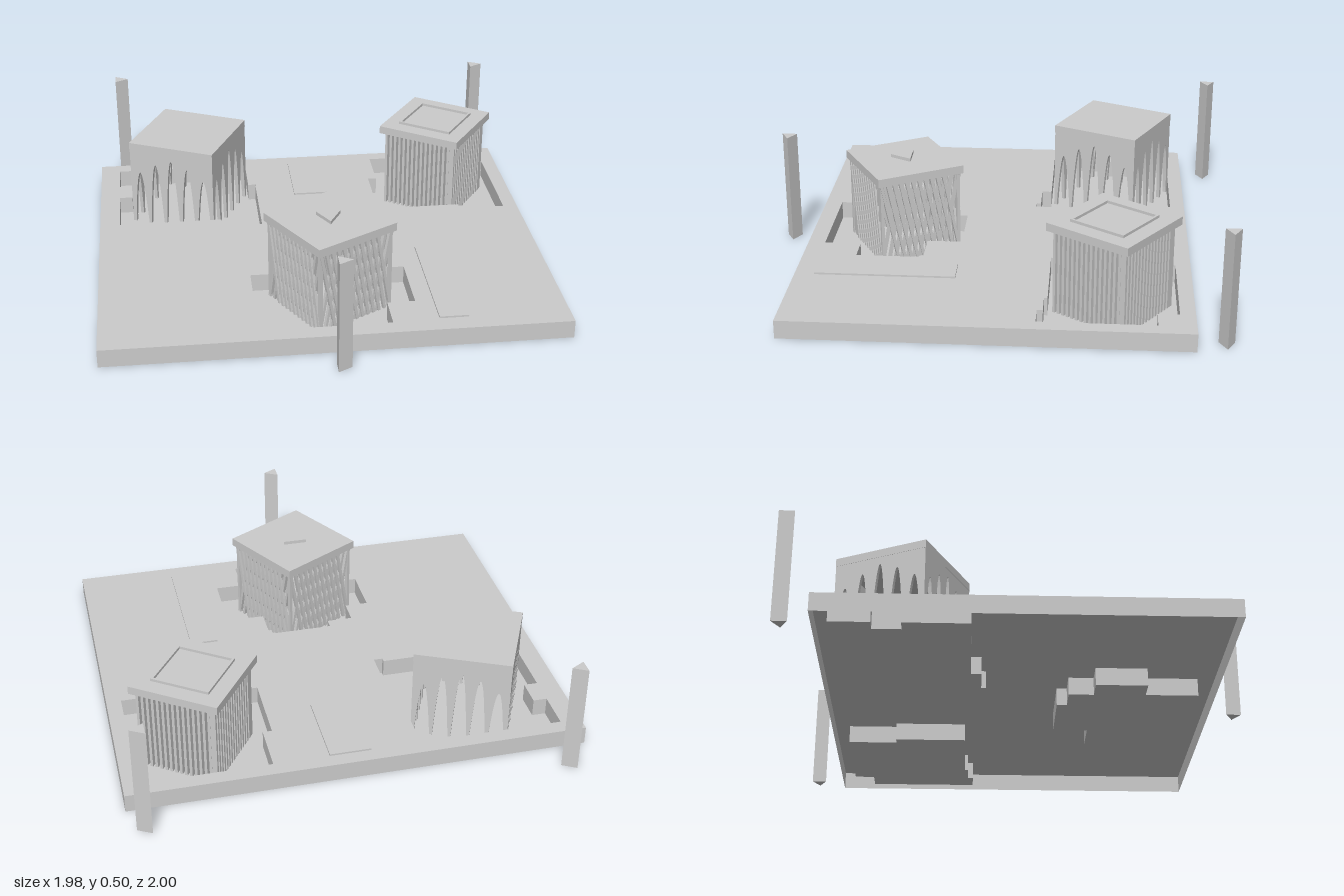
import * as THREE from 'three';

const solid = new THREE.MeshStandardMaterial({ color: 0xcccccc, flatShading: true });
const thin = new THREE.MeshStandardMaterial({ color: 0xcccccc, flatShading: true, side: THREE.DoubleSide });
const DECK = 0.08;

function add(parent, name, geometry, x = 0, y = 0, z = 0, material = solid) {
  const mesh = new THREE.Mesh(geometry, material);
  mesh.name = name;
  mesh.position.set(x, y, z);
  parent.add(mesh);
  return mesh;
}

const box = (w, h, d) => new THREE.BoxGeometry(w, h, d);
const toShape = pts => new THREE.Shape(pts.map(p => new THREE.Vector2(p[0], p[1])));

// Horizontal sheet from plan points [x, z]
const sheet = shape => new THREE.ShapeGeometry(shape).rotateX(Math.PI / 2);

// Upright prism from plan points [x, z], height h above y = 0
const prism = (shape, h) =>
  new THREE.ExtrudeGeometry(shape, { depth: h, bevelEnabled: false, curveSegments: 12 })
    .rotateX(Math.PI / 2).translate(0, h, 0);

// Vertical band following a closed plan outline
function band(pts, h) {
  const pos = [];
  pts.forEach(([x0, z0], i) => {
    const [x1, z1] = pts[(i + 1) % pts.length];
    pos.push(x0, 0, z0, x0, h, z0, x1, h, z1, x0, 0, z0, x1, h, z1, x1, 0, z1);
  });
  const g = new THREE.BufferGeometry();
  g.setAttribute('position', new THREE.Float32BufferAttribute(pos, 3));
  g.computeVertexNormals();
  return g;
}

// Group turned about y, with four copies of a facade around it
function building(root, name, x, z, degrees, makeFacade) {
  const g = new THREE.Group();
  g.name = name;
  g.position.set(x, 0.002, z);
  g.rotation.y = THREE.MathUtils.degToRad(degrees);
  for (let i = 0; i < 4; i++) {
    const side = new THREE.Group();
    side.name = 'facade';
    side.rotation.y = i * Math.PI / 2;
    makeFacade(side);
    g.add(side);
  }
  root.add(g);
  return g;
}

export function createModel() {
  const root = new THREE.Group();
  root.name = 'pavilionSite';

  // Hollow deck with three stepped sunken courts
  const courts = [
    [[-0.9, -0.78], [-0.275, -0.78], [-0.275, -0.56], [-0.24, -0.56], [-0.24, -0.15], [-0.28, -0.15], [-0.28, -0.17],
      [-0.425, -0.17], [-0.425, -0.215], [-0.9, -0.215], [-0.9, -0.49], [-0.84, -0.49], [-0.84, -0.61], [-0.9, -0.61]],
    [[0.36, -0.78], [0.82, -0.78], [0.82, -0.69], [0.92, -0.69], [0.92, -0.2], [0.82, -0.2], [0.82, -0.225],
      [0.71, -0.225], [0.71, -0.24], [0.32, -0.24], [0.32, -0.56], [0.36, -0.56]],
    [[-0.11, 0.165], [0.18, 0.165], [0.18, 0.32], [0.35, 0.32], [0.35, 0.615], [0.23, 0.615], [0.23, 0.775],
      [-0.23, 0.775], [-0.23, 0.545], [-0.33, 0.545], [-0.33, 0.32], [-0.225, 0.32], [-0.225, 0.21], [-0.11, 0.21]],
  ];
  const rim = [[-0.99, -0.845], [0.985, -0.845], [0.985, 0.85], [-0.99, 0.85]];
  const deck = toShape(rim);
  deck.holes = courts.map(toShape);
  add(root, 'deckTop', sheet(deck), 0, DECK, 0, thin);
  add(root, 'deckEdge', band(rim, DECK), 0, 0, 0, thin);
  for (const c of courts) {
    add(root, 'courtWall', band(c, DECK), 0, 0, 0, thin);
    add(root, 'courtFloor', sheet(toShape(c)), 0, 0, 0, thin);
  }

  // Thin paving pads
  add(root, 'backPad', box(0.18, 0.008, 0.355), 0.03, DECK + 0.004, -0.605);
  add(root, 'frontPad', box(0.125, 0.008, 0.605), 0.49, DECK + 0.004, 0.462);

  // Triangular posts around the deck
  const post = prism(toShape([[-0.028, -0.033], [0.032, 0], [-0.028, 0.033]]), 0.5);
  for (const [x, z] of [[-0.87, -0.967], [0.922, -0.967], [0.003, 0.963]]) add(root, 'post', post, x, 0, z);

  // Arcaded pavilion: walls cut by parabolic arches, tallest in the middle
  const W = 0.416, wall = new THREE.Shape();
  wall.moveTo(-W / 2, 0);
  [0.26, 0.31, 0.34, 0.31, 0.26].forEach((h, i) => {
    const c = (i - 2) * 0.08, r = 0.034;
    wall.lineTo(c - r, 0);
    wall.quadraticCurveTo(c, h * 2, c + r, 0);
  });
  wall.lineTo(W / 2, 0);
  wall.lineTo(W / 2, 0.375);
  wall.lineTo(-W / 2, 0.375);
  wall.closePath();
  const arcade = new THREE.ExtrudeGeometry(wall, { depth: 0.016, bevelEnabled: false, curveSegments: 16 });
  const arched = building(root, 'archedPavilion', -0.56, -0.504, -25.3, side =>
    add(side, 'arcadeWall', arcade, 0, 0, W / 2 - 0.016));
  add(arched, 'archedRoof', box(0.418, 0.035, 0.418), 0, 0.3905, 0);

  // Lattice pavilion: crossing slanted bars under a flat roof
  const H = 0.37, lean = 0.075, bars = 11;
  const lattice = building(root, 'latticePavilion', 0.005, 0.44, 29.5, side => {
    for (const s of [-1, 1]) {
      for (let i = 0; i < bars; i++) {
        const x = (i / (bars - 1) - 0.5) * (0.37 - lean);
        const bar = add(side, 'latticeBar', box(0.013, Math.hypot(H, lean), 0.014), x, H / 2, 0.183 + s * 0.003);
        bar.rotation.z = s * Math.atan2(lean, H);
      }
    }
    add(side, 'cornerBar', box(0.014, H, 0.014), 0.183, H / 2, 0.183);
  });
  add(lattice, 'latticeRoof', box(0.405, 0.037, 0.405), 0, 0.3885, 0);
  add(root, 'roofTriangle', prism(toShape([[-0.053, -0.04], [0.053, -0.04], [0, 0.055]]), 0.016), 0.002, 0.408, 0.445);

  // Colonnade pavilion: close-set fins under an overhanging roof
  const fins = 15, span = 0.345;
  const colonnade = building(root, 'colonnadePavilion', 0.635, -0.508, -34.7, side => {
    for (let i = 0; i < fins; i++) {
      add(side, 'fin', box(0.012, 0.372, 0.026), (i / fins - 0.5) * span, 0.186, span / 2 - 0.006);
    }
  });
  add(colonnade, 'colonnadeRoof', box(0.4, 0.036, 0.4), 0, 0.39, 0);
  const square = r => [[-r, -r], [r, -r], [r, r], [-r, r]];
  const frame = toShape(square(0.131));
  frame.holes.push(toShape(square(0.121)));
  add(colonnade, 'skylightFrame', prism(frame, 0.014), 0, 0.406, 0);

  return root;
}
